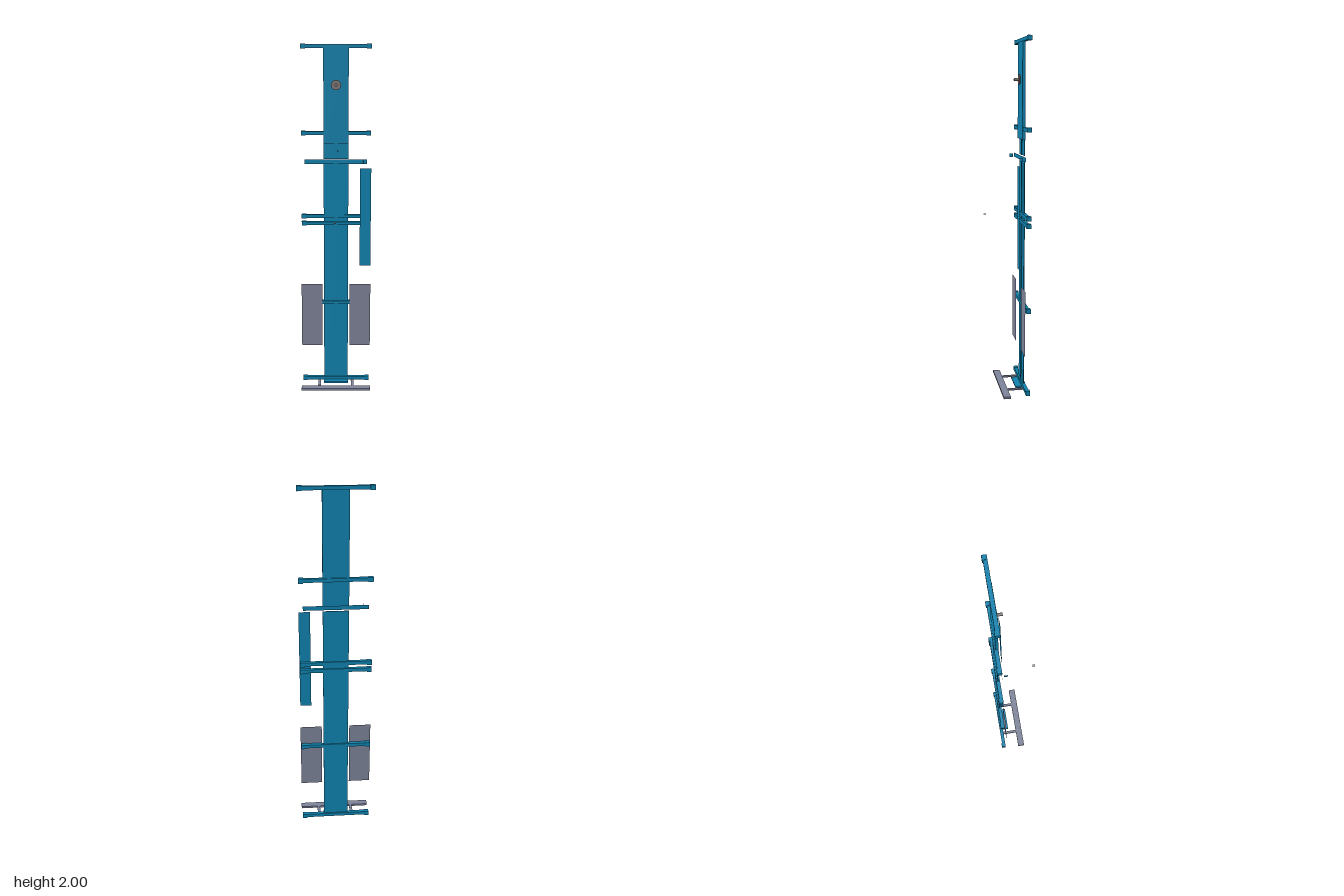
import * as THREE from 'three';

const paint = (color) => new THREE.MeshStandardMaterial({ color, side: THREE.DoubleSide });

export function createModel() {
  const model = new THREE.Group();
  const blue = paint(0x0f82ae), slate = paint(0x7d8399), metal = paint(0x7f7775);
  const red = paint(0x8a3a2c), pale = paint(0xb0b0b0);

  // Box given by its lower and upper limits on each axis
  const box = (name, [x0, x1], [y0, y1], [z0, z1], material) => {
    const mesh = new THREE.Mesh(new THREE.BoxGeometry(x1 - x0, y1 - y0, z1 - z0), material);
    mesh.position.set((x0 + x1) / 2, (y0 + y1) / 2, (z0 + z1) / 2);
    mesh.name = name;
    model.add(mesh);
    return mesh;
  };
  // Flat sheet facing the front
  const sheet = (name, [x0, x1], [y0, y1], z, material) => {
    const mesh = new THREE.Mesh(new THREE.PlaneGeometry(x1 - x0, y1 - y0), material);
    mesh.position.set((x0 + x1) / 2, (y0 + y1) / 2, z);
    mesh.name = name;
    model.add(mesh);
    return mesh;
  };

  // Column: back plates with a slot between, a centre rib and an upper cover
  box('lowerBackPlate', [-0.071, 0.071], [0.01, 1.332], [-0.106, -0.101], blue);
  box('upperBackPlate', [-0.071, 0.071], [1.36, 1.985], [-0.106, -0.101], blue);
  box('centreRib', [-0.01, 0.01], [0.03, 1.332], [-0.101, -0.098], blue);
  box('upperRib', [-0.01, 0.01], [1.36, 1.45], [-0.101, -0.098], blue);
  box('upperCover', [-0.071, 0.071], [1.45, 1.98], [-0.101, -0.09], blue);

  // Cross bars with end caps
  for (const y of [1.987, 1.507, 1.027, 0.985, 0.505, 0.022]) {
    box('crossBar', [-0.197, 0.197], [y - 0.01, y + 0.01], [-0.113, -0.092], blue);
    for (const s of [-1, 1])
      box('barEndCap', [s * 0.186 - 0.013, s * 0.186 + 0.013], [y - 0.013, y + 0.013], [-0.117, -0.093], blue);
  }

  // Thin rail across the slot, with a tab near each end
  sheet('slotRail', [-0.18, 0.177], [1.334, 1.358], -0.09, blue);
  for (const s of [-1, 1]) {
    const tab = sheet('railTab', [-0.01, 0.01], [1.334, 1.356], -0.068, blue);
    tab.position.x = s * 0.155;
    tab.rotation.y = Math.PI / 2;
  }

  // Side panels
  sheet('tallSidePanel', [0.137, 0.2], [0.743, 1.312], -0.052, blue);
  for (const s of [-1, 1]) {
    const panel = sheet('lowerSidePanel', [0.08, 0.203], [0.24, 0.62], -0.085, slate);
    panel.position.x *= s;
  }

  // Round knob on the cover
  const knob = (name, radius, z0, z1) => {
    const mesh = new THREE.Mesh(new THREE.CylinderGeometry(radius, radius, z1 - z0, 24), metal);
    mesh.rotation.x = Math.PI / 2;
    mesh.position.set(0, 1.775, (z0 + z1) / 2);
    mesh.name = name;
    model.add(mesh);
  };
  knob('knobDisc', 0.028, -0.087, -0.081);
  knob('knobStem', 0.008, -0.081, -0.055);

  // Foot: front plate, two arms, coloured pads underneath and a small shelf
  box('footPlate', [-0.203, 0.203], [0.001, 0.013], [-0.005, 0.035], slate);
  box('footShelf', [-0.072, 0.072], [0.008, 0.016], [-0.092, -0.055], blue);
  for (const s of [-1, 1]) {
    box('footArm', [s * 0.098 - 0.008, s * 0.098 + 0.008], [0.008, 0.016], [-0.095, -0.004], slate);
    box('footPad', [s * 0.125 - 0.065, s * 0.125 + 0.065], [0, 0.002], [0.004, 0.026], red);
  }

  // Small loose plate in front
  box('smallPlate', [-0.013, 0], [1.027, 1.03], [0.104, 0.117], pale);

  return model;
}
